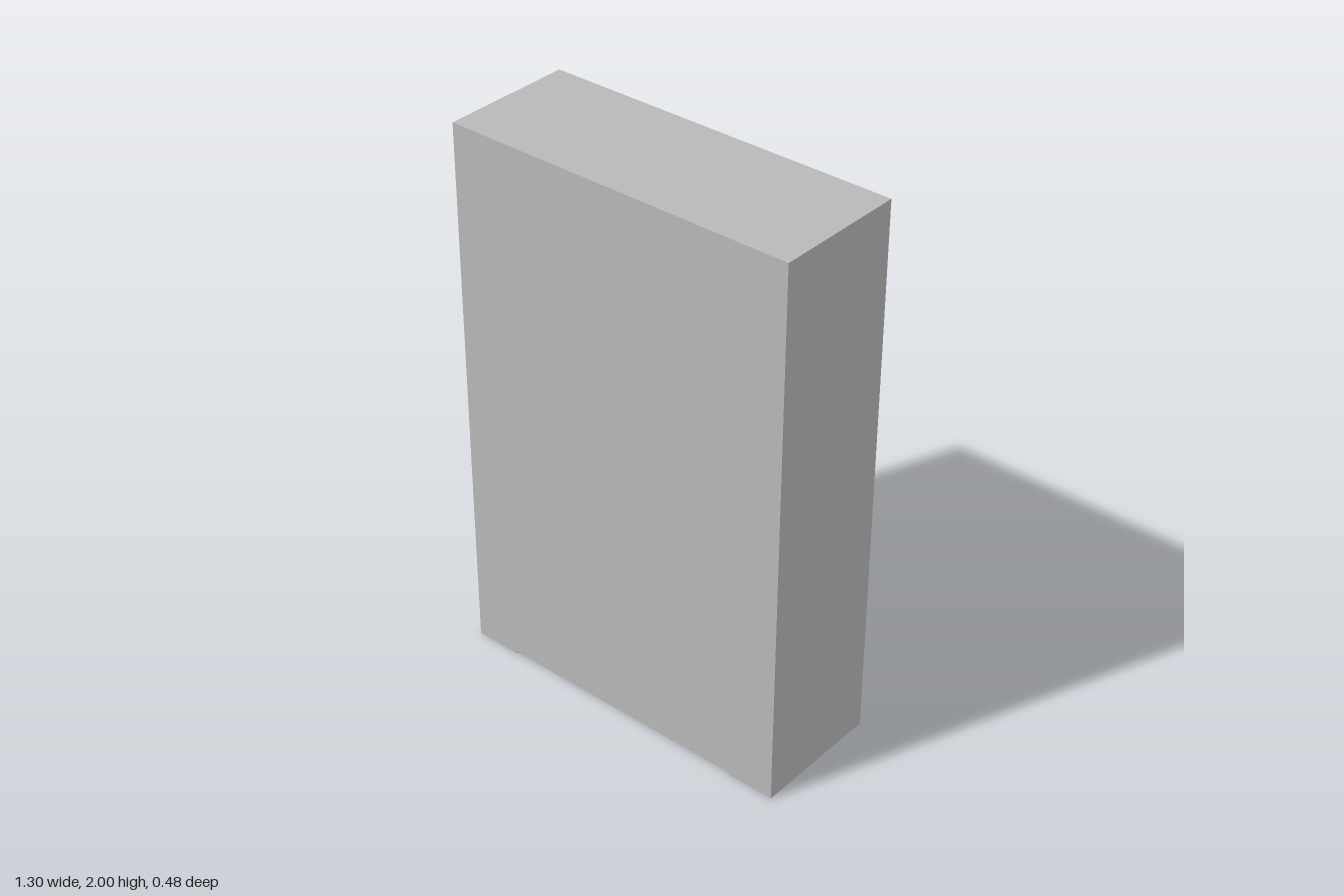
import * as THREE from 'three';

const HALF_W = 0.65, HALF_D = 0.24, HEIGHT = 2; // overall block
const NICHE_HALF_W = 0.475;                     // niche half width

export function createModel() {
  const group = new THREE.Group();
  group.name = 'wallBlockWithNiche';
  const plaster = new THREE.MeshStandardMaterial({ color: 0xb8b8b8 });
  plaster.name = 'grey plaster';

  // Solid piers on both sides of the niche
  const pierWidth = HALF_W - NICHE_HALF_W;
  for (const [side, name] of [[1, 'leftPier'], [-1, 'rightPier']]) {
    const pier = new THREE.Mesh(new THREE.BoxGeometry(pierWidth, HEIGHT, HALF_D * 2), plaster);
    pier.position.set(side * (NICHE_HALF_W + pierWidth / 2), HEIGHT / 2, 0);
    pier.name = name;
    group.add(pier);
  }

  // Middle section: side profile (z, y) with a sloped-ceiling niche open to the
  // back, and an underside set slightly above the piers' feet
  const profile = new THREE.Shape([
    [HALF_D, 0.008], [HALF_D, HEIGHT], [-HALF_D, HEIGHT],
    [-HALF_D, 1.64], [0.14, 1.21], [0.14, 1.0], [-HALF_D, 1.0],
    [-HALF_D, 0.008],
  ].map(([z, y]) => new THREE.Vector2(z, y)));
  const middleGeometry = new THREE.ExtrudeGeometry(profile, {
    depth: NICHE_HALF_W * 2, bevelEnabled: false,
  });
  middleGeometry.translate(0, 0, -NICHE_HALF_W).rotateY(-Math.PI / 2);
  const middle = new THREE.Mesh(middleGeometry, plaster);
  middle.name = 'nicheSection';
  group.add(middle);

  return group;
}
